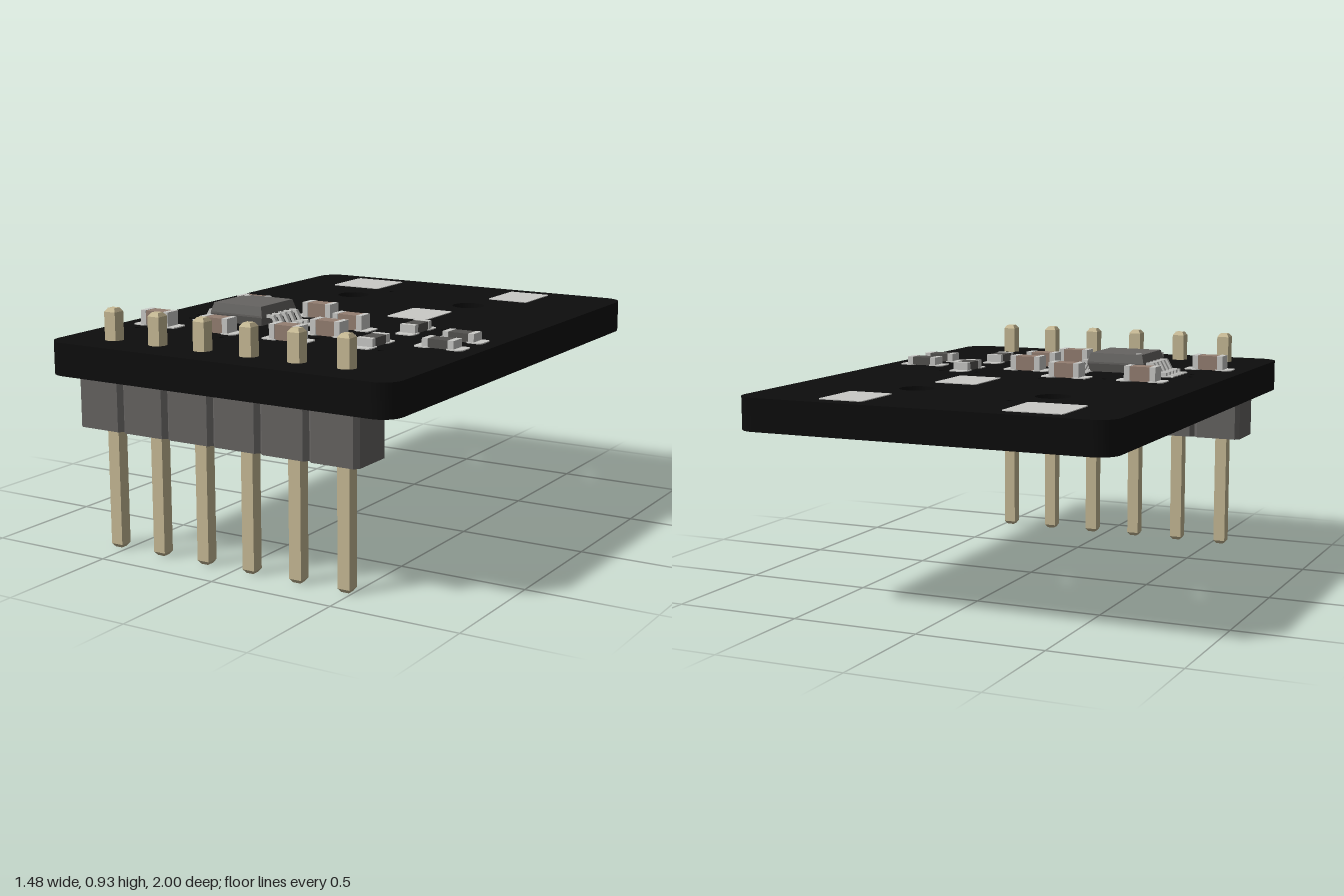
import * as THREE from 'three';
import { toCreasedNormals } from 'three/addons/utils/BufferGeometryUtils.js';

const material = (name, color) => {
  const m = new THREE.MeshStandardMaterial({ color });
  m.name = name;
  return m;
};

const TOP = 0.805, THICK = 0.125;

export function createModel() {
  const model = new THREE.Group();
  model.name = 'sensorBoard';
  const black = material('boardBlack', 0x0d0d0d);
  const grey = material('plasticGrey', 0x666462);
  const darkGrey = material('resistorGrey', 0x545250);
  const silver = material('solderSilver', 0xcacac7);
  const brown = material('ceramicBrown', 0x957f72);
  const gold = material('pinGold', 0xc8bb96);

  const add = (parent, name, geometry, mat, x = 0, y = 0, z = 0) => {
    const mesh = new THREE.Mesh(geometry, mat);
    mesh.name = name;
    mesh.position.set(x, y, z);
    parent.add(mesh);
    return mesh;
  };
  const box = (parent, name, mat, w, h, d, x, y, z) =>
    add(parent, name, new THREE.BoxGeometry(w, h, d), mat, x, y, z);
  const group = (name, x = 0, y = 0, z = 0) => {
    const g = new THREE.Group();
    g.name = name;
    g.position.set(x, y, z);
    model.add(g);
    return g;
  };
  // Rounded rectangle outline, centred on the origin
  const roundedRect = (w, h, r) => {
    const s = new THREE.Shape(), x = w / 2, y = h / 2;
    s.moveTo(-x + r, -y);
    s.lineTo(x - r, -y).absarc(x - r, -y + r, r, -Math.PI / 2, 0);
    s.lineTo(x, y - r).absarc(x - r, y - r, r, 0, Math.PI / 2);
    s.lineTo(-x + r, y).absarc(-x + r, y - r, r, Math.PI / 2, Math.PI);
    s.lineTo(-x, -y + r).absarc(-x + r, -y + r, r, Math.PI, Math.PI * 1.5);
    return s;
  };
  // Extrude a plan outline (x, z) downwards from y = 0
  const slab = (shape, depth) => toCreasedNormals(
    new THREE.ExtrudeGeometry(shape, { depth, bevelEnabled: false, curveSegments: 8 })
      .rotateX(Math.PI / 2), 0.6);
  // Square solid from [halfWidth, y] profile points
  const squareLathe = (profile) => toCreasedNormals(
    new THREE.LatheGeometry(
      profile.map(([r, y]) => new THREE.Vector2(r * Math.SQRT2, y)), 4)
      .rotateY(Math.PI / 4), 0.1);

  // Board with mounting holes, small vias and pin holes
  const pinX = Array.from({ length: 6 }, (_, i) => -0.54 + i * 0.2024);
  const pinZ = 0.84;
  const vias = [[-0.22, -0.68], [-0.54, -0.04], [-0.06, -0.04], [-0.3, 0.04],
    [-0.54, 0.12], [-0.06, 0.12], [-0.59, 0.24], [-0.57, 0.32], [-0.03, 0.27],
    [0.26, 0.04], [0.42, 0.04], [0.58, 0.28], [0.26, 0.52], [0.42, 0.52],
    [-0.62, 0.44], [-0.22, 0.44], [0.1, 0.44], [-0.62, 0.6], [-0.22, 0.6], [0.1, 0.6]];
  const outline = roundedRect(1.48, 2, 0.08);
  const drill = (x, z, r) => outline.holes.push(
    new THREE.Path().absarc(x, z, r, 0, Math.PI * 2, true));
  drill(-0.32, -0.52, 0.067);
  drill(0.24, -0.52, 0.067);
  vias.forEach(([x, z]) => drill(x, z, 0.012));
  pinX.forEach((x) => drill(x, pinZ, 0.037));
  add(model, 'board', slab(outline, THICK), black, 0, TOP, 0);

  // Large bare solder pads
  for (const [x, z, w] of [[-0.42, -0.82, 0.23], [0.33, -0.82, 0.18], [0.17, -0.225, 0.18]])
    add(model, 'solderPad', slab(roundedRect(w, 0.23, 0.012), 0.003), silver, x, TOP + 0.003, z);

  // Header block: chamfered notches between the six cells
  const cell = 0.2024, cut = 0.017, half = 0.1, front = [];
  for (const x of pinX) {
    const a = x - cell / 2, b = x + cell / 2;
    front.push([a, half - cut], [a + cut, half], [b - cut, half], [b, half - cut]);
  }
  const back = front.map(([x, z]) => [x, -z]).reverse();
  const headerShape = new THREE.Shape(
    [...back, ...front].map(([x, z]) => new THREE.Vector2(x, z)));
  add(model, 'headerBlock', slab(headerShape, 0.2), grey, 0, TOP - THICK, pinZ);

  // Header pins with tapered tips
  const pinGeometry = squareLathe([[0, 0], [0.015, 0], [0.025, 0.014],
    [0.025, 0.911], [0.015, 0.925], [0, 0.925]]);
  pinX.forEach((x) => add(model, 'headerPin', pinGeometry, gold, x, 0, pinZ));

  // Two-terminal chips with pads, optionally turned to run along z
  const padGeometry = slab(roundedRect(0.068, 0.08, 0.016), 0.004);
  const chip = (name, bodyMat, height, x, z, turned = false) => {
    const g = group(name, x, TOP, z);
    if (turned) g.rotation.y = Math.PI / 2;
    box(g, 'chipBody', bodyMat, 0.084, height - 0.002, 0.062, 0, height / 2, 0);
    for (const side of [-1, 1]) {
      box(g, 'terminal', silver, 0.024, height, 0.066, side * 0.053, height / 2, 0);
      add(g, 'chipPad', padGeometry, silver, side * 0.066, 0.004, 0);
    }
  };
  for (const [x, z] of [[-0.46, 0.035], [-0.14, 0.035], [0.1, 0.195], [0.1, 0.355],
    [-0.58, 0.515], [-0.3, 0.515], [0.02, 0.515]])
    chip('capacitor', brown, 0.06, x, z);
  for (const [x, z, turned] of [[0.34, 0.115, true], [0.34, 0.435, true],
    [0.58, 0.195, false], [0.58, 0.355, false]])
    chip('resistor', darkGrey, 0.035, x, z, turned);

  // Main chip package with tapered sides
  const ic = group('mainChip', -0.3, TOP, 0.275);
  add(ic, 'package', squareLathe([[0, 0.012], [0.11, 0.012], [0.12, 0.045],
    [0.12, 0.052], [0.11, 0.087], [0, 0.087]]), grey);
  add(ic, 'pinOneDot', new THREE.CylinderGeometry(0.012, 0.012, 0.003, 16), silver,
    -0.088, 0.088, -0.085);

  // Bent leads and their pads, five per side
  const leadShape = new THREE.Shape([[0.11, 0.042], [0.143, 0.042], [0.163, 0.005],
    [0.205, 0.005], [0.205, 0.017], [0.171, 0.017], [0.151, 0.054], [0.11, 0.054]]
    .map(([x, y]) => new THREE.Vector2(x, y)));
  const leadGeometry = new THREE.ExtrudeGeometry(leadShape, { depth: 0.016, bevelEnabled: false })
    .translate(0, 0, -0.008);
  const leadPad = slab(roundedRect(0.105, 0.025, 0.01), 0.004);
  for (const side of [-1, 1]) {
    for (let i = -2; i <= 2; i++) {
      const lead = add(ic, 'lead', leadGeometry, silver, 0, 0, i * 0.04);
      if (side < 0) lead.rotation.y = Math.PI;
      add(ic, 'leadPad', leadPad, silver, side * 0.184, 0.004, i * 0.04);
    }
  }
  return model;
}
